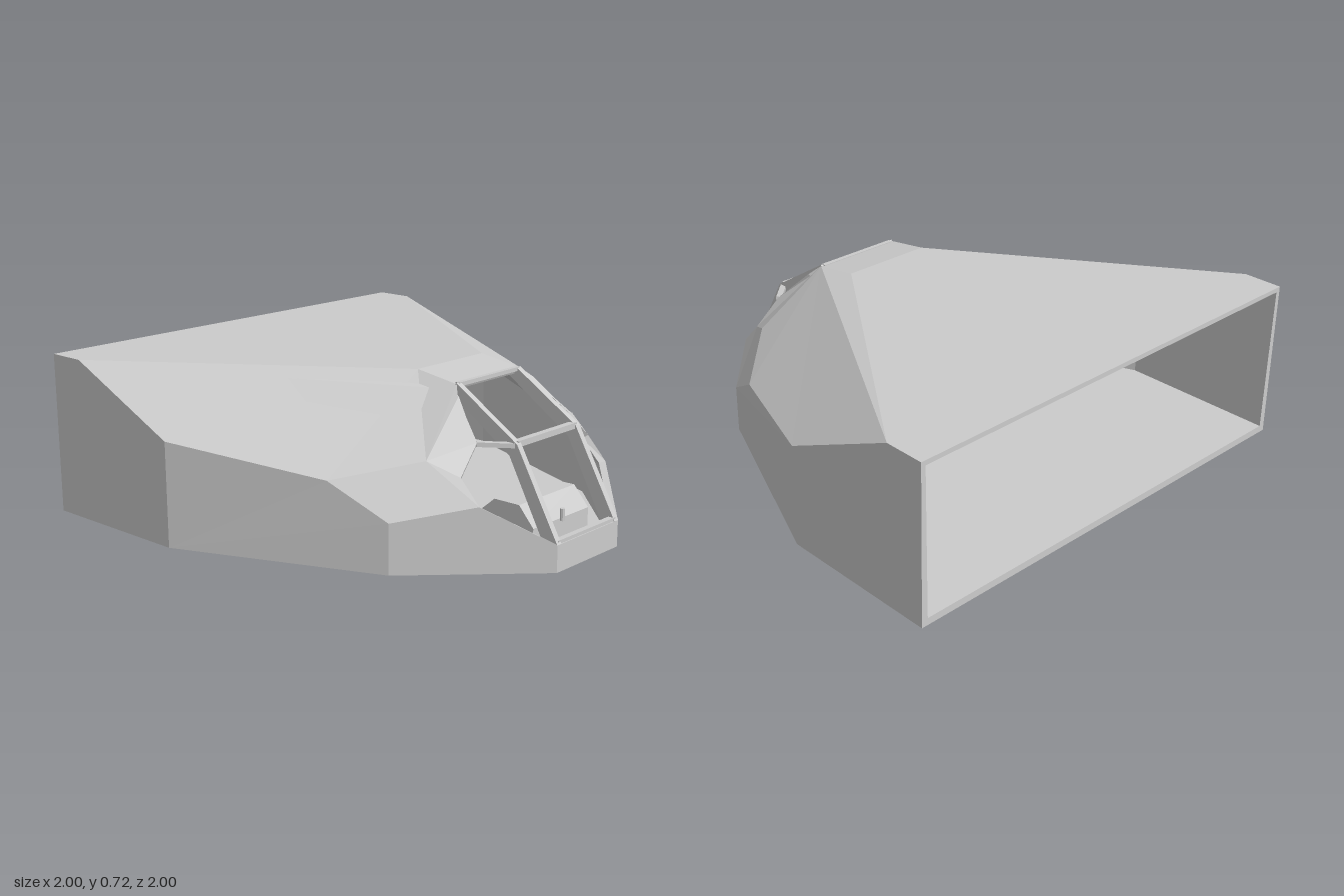
import * as THREE from 'three';

const material = new THREE.MeshStandardMaterial({ color: 0xcccccc, flatShading: true, side: THREE.DoubleSide });
const V = (x, y, z) => new THREE.Vector3(x, y, z);

// Corners of the +z half of the hull
const P = {
  backLow: V(-1, 0.04, 1), midLow: V(-0.3, 0.04, 1), foreLow: V(0.55, 0.04, 0.645), noseLow: V(1, 0.04, 0.2),
  backTop: V(-1, 0.72, 1), roofCorner: V(-0.83, 0.72, 1), roofFront: V(0.3, 0.72, 0.2), screenTop: V(0.5, 0.69, 0.2),
  belt1: V(-0.3, 0.475, 1), belt2: V(0.32, 0.385, 0.737), belt3: V(0.55, 0.245, 0.645), cheek: V(0.58, 0.455, 0.47),
  win1: V(0.54, 0.65, 0.24), win2: V(0.684, 0.51, 0.297), win3: V(0.7, 0.4, 0.41), win4: V(0.79, 0.305, 0.41),
  noseTop: V(1, 0.15, 0.2),
};
// Faces repeated on both sides
const SIDE = [
  ['backLow', 'midLow', 'belt1', 'roofCorner', 'backTop'],
  ['midLow', 'foreLow', 'belt3', 'belt2', 'belt1'],
  ['foreLow', 'noseLow', 'noseTop', 'win4', 'belt3'],
  ['roofFront', 'roofCorner', 'belt1', 'belt2', 'cheek', 'screenTop'],
  ['belt2', 'belt3', 'cheek'],
  ['cheek', 'belt3', 'win4', 'win3'],
  ['cheek', 'win3', 'win2', 'win1', 'screenTop'],
];
// Faces spanning the centreline, a minus marks the mirrored corner
const CENTRE = [
  ['backTop', 'roofCorner', 'roofFront', '-roofFront', '-roofCorner', '-backTop'],
  ['roofFront', 'screenTop', '-screenTop', '-roofFront'],
  ['noseLow', 'noseTop', '-noseTop', '-noseLow'],
];

// Thick shell: outer faces, inner offset faces and rims along every open edge
function hullGeometry(thickness) {
  const outer = {}, normals = {}, inner = {}, positions = [];
  for (const [k, p] of Object.entries(P)) {
    outer[k] = p;
    outer['-' + k] = V(p.x, p.y, -p.z);
  }
  for (const k in outer) normals[k] = V(0, 0, 0);
  const faces = [...CENTRE, ...SIDE, ...SIDE.map(f => f.map(k => '-' + k))].map(f => [...f]);
  const edges = new Map();
  for (const f of faces) {
    const [a, b, c] = f.map(k => outer[k]);
    const n = b.clone().sub(a).cross(c.clone().sub(a)).normalize();
    if (n.dot(a.clone().add(b).add(c).divideScalar(3).sub(V(0, 0.3, 0))) < 0) { f.reverse(); n.negate(); }
    f.forEach((k, i) => {
      normals[k].add(n);
      const next = f[(i + 1) % f.length];
      if (!edges.delete(next + '|' + k)) edges.set(k + '|' + next, [k, next]);
    });
  }
  for (const k in outer) {
    const n = normals[k];
    if (outer[k].y < 0.05) n.y = 0;
    if (outer[k].x === -1) n.x = 0;
    inner[k] = outer[k].clone().addScaledVector(n.normalize(), -thickness);
  }
  const fan = pts => {
    for (let i = 1; i < pts.length - 1; i++)
      for (const p of [pts[0], pts[i], pts[i + 1]]) positions.push(p.x, p.y, p.z);
  };
  for (const f of faces) {
    fan(f.map(k => outer[k]));
    fan(f.map(k => inner[k]).reverse());
  }
  for (const [a, b] of edges.values()) fan([outer[b], outer[a], inner[a], inner[b]]);
  const g = new THREE.BufferGeometry();
  g.setAttribute('position', new THREE.Float32BufferAttribute(positions, 3));
  g.computeVertexNormals();
  return g;
}

function polygon(points) {
  return new THREE.Shape(points.map(([x, y]) => new THREE.Vector2(x, y)));
}

export function createModel() {
  const model = new THREE.Group();
  model.name = 'cockpitHull';
  const add = (name, geometry, x = 0, y = 0, z = 0) => {
    const mesh = new THREE.Mesh(geometry, material);
    mesh.name = name;
    mesh.position.set(x, y, z);
    model.add(mesh);
    return mesh;
  };
  // Straight rectangular bar between two points
  const bar = (name, a, b, width, height) => {
    const mesh = add(name, new THREE.BoxGeometry(width, height, a.distanceTo(b)));
    mesh.position.copy(a).lerp(b, 0.5);
    mesh.lookAt(b);
  };

  add('hullShell', hullGeometry(0.028));

  // Floor plate, slightly recessed above the hull's lower edge
  const half = [[-0.98, 0.98], [-0.3, 0.98], [0.54, 0.625], [0.98, 0.19]];
  const outline = [...half, ...half.map(([x, z]) => [x, -z]).reverse()];
  const floor = new THREE.ExtrudeGeometry(polygon(outline), { depth: 0.015, bevelEnabled: false });
  add('floor', floor.rotateX(-Math.PI / 2), 0, 0.055, 0);
  add('rearSill', new THREE.BoxGeometry(0.025, 0.03, 1.95), -0.9875, 0.055, 0);

  // Windscreen side posts, bent at the crossbar
  const post = polygon([[0.5, 0.695], [0.8, 0.505], [1, 0.15], [0.93, 0.15], [0.765, 0.455], [0.46, 0.66]]);
  for (const s of [-1, 1]) {
    const g = new THREE.ExtrudeGeometry(post, { depth: 0.026, bevelEnabled: false });
    add('windscreenPost', g, 0, 0, s * 0.189 - 0.013);
    // Strut dividing the upper and lower side windows
    bar('sideWindowStrut', V(0.785, 0.497, s * 0.19), V(0.68, 0.505, s * 0.298), 0.025, 0.018);
  }
  // Crossbars between the posts
  add('windscreenTopBar', new THREE.BoxGeometry(0.02, 0.016, 0.38), 0.495, 0.687, 0);
  add('windscreenCrossbar', new THREE.BoxGeometry(0.028, 0.024, 0.38), 0.783, 0.502, 0);
  add('windscreenSill', new THREE.BoxGeometry(0.025, 0.022, 0.38), 0.983, 0.153, 0);

  // Console behind the windscreen with a small control stick
  const profile = polygon([[0.61, 0.07], [0.87, 0.07], [0.87, 0.18], [0.8, 0.26], [0.68, 0.26], [0.61, 0.2]]);
  add('console', new THREE.ExtrudeGeometry(profile, { depth: 0.36, bevelEnabled: false }), 0, 0, -0.18);
  add('controlStick', new THREE.CylinderGeometry(0.01, 0.01, 0.05, 8), 0.875, 0.195, 0);

  // Small pegs under the floor
  add('frontPeg', new THREE.CylinderGeometry(0.012, 0.012, 0.06, 8), 0.745, 0.03, 0);
  for (const s of [-1, 1])
    add('sidePeg', new THREE.CylinderGeometry(0.008, 0.008, 0.045, 8), 0.54, 0.0355, s * 0.25);

  return model;
}
